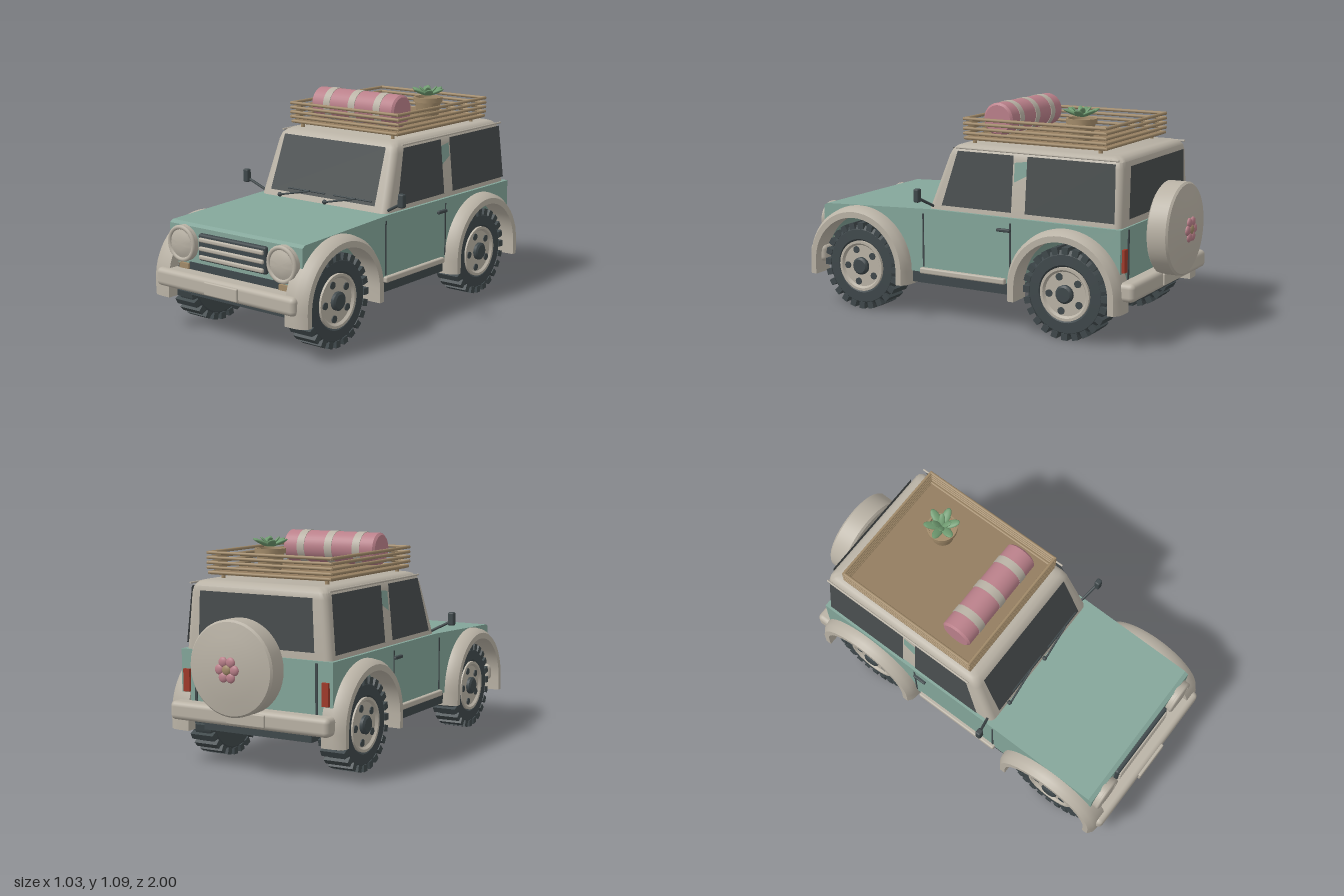
import * as THREE from 'three';
import { mergeGeometries, toCreasedNormals } from 'three/addons/utils/BufferGeometryUtils.js';
import { RoundedBoxGeometry } from 'three/addons/geometries/RoundedBoxGeometry.js';

const mat = (name, color, side = THREE.FrontSide) => {
  const m = new THREE.MeshStandardMaterial({ color, side });
  m.name = name;
  return m;
};

export function createModel() {
  const teal = mat('teal paint', 0x84a69a, THREE.DoubleSide);
  const cream = mat('cream trim', 0xb9b2a5);
  const glass = mat('dark glass', 0x484d4e, THREE.DoubleSide);
  const dark = mat('dark rubber', 0x3f484b);
  const tan = mat('tan cane', 0xa18a69);
  const brown = mat('brown board', 0x927b5e);
  const pink = mat('pink cloth', 0xba808a);
  const green = mat('leaf green', 0x6f9a70);
  const red = mat('lamp red', 0xa03a2a);

  const model = new THREE.Group();
  const add = (name, geo, m, x = 0, y = 0, z = 0, parent = model) => {
    const mesh = new THREE.Mesh(geo, m);
    mesh.name = name;
    mesh.position.set(x, y, z);
    parent.add(mesh);
    return mesh;
  };
  const box = (w, h, d) => new THREE.BoxGeometry(w, h, d);
  const rbox = (w, h, d, r) => new RoundedBoxGeometry(w, h, d, 3, r);
  const lathe = (pts, seg = 40) => toCreasedNormals(
    new THREE.LatheGeometry(pts.map(p => new THREE.Vector2(p[0], p[1])), seg), 0.6);
  const rod = (name, a, b, r, m) => {
    const p = new THREE.Vector3(...a), q = new THREE.Vector3(...b);
    const mesh = add(name, new THREE.CylinderGeometry(r, r, p.distanceTo(q), 10), m);
    mesh.position.copy(p).lerp(q, 0.5);
    mesh.quaternion.setFromUnitVectors(new THREE.Vector3(0, 1, 0), q.sub(p).normalize());
    return mesh;
  };
  // Skin over equal-length closed loops, capped at both ends
  const loft = (rows, crease) => {
    const n = rows[0].length, idx = [], last = (rows.length - 1) * n;
    for (let i = 0; i < rows.length - 1; i++) for (let j = 0; j < n; j++) {
      const a = i * n + j, b = i * n + (j + 1) % n;
      idx.push(a, b, a + n, b, b + n, a + n);
    }
    for (let j = 1; j < n - 1; j++) idx.push(0, j + 1, j, last, last + j, last + j + 1);
    const g = new THREE.BufferGeometry();
    g.setAttribute('position', new THREE.Float32BufferAttribute(rows.flat(2), 3));
    g.setIndex(idx);
    return toCreasedNormals(g, crease);
  };
  const panel = (name, corners, m) => {
    const g = new THREE.BufferGeometry();
    g.setAttribute('position', new THREE.Float32BufferAttribute(corners.flat(), 3));
    g.setIndex([0, 1, 2, 0, 2, 3]);
    g.computeVertexNormals();
    return add(name, g, m);
  };

  // Lower body: side outline with open wheel arches
  const frontZ = 0.663, rearZ = -0.518, archY = 0.24, archR = 0.255;
  const s = new THREE.Shape();
  s.moveTo(0.9, 0.36);
  s.lineTo(0.9, 0.525);
  s.lineTo(0.88, 0.537);
  s.lineTo(0.25, 0.565);
  s.lineTo(-0.8, 0.565);
  s.lineTo(-0.8, archY);
  s.absarc(rearZ, archY, archR, Math.PI, 0, true);
  s.absarc(frontZ, archY, archR, Math.PI, 0.378, true);
  const bodyGeo = new THREE.ExtrudeGeometry(s, { depth: 0.84, bevelEnabled: false, curveSegments: 24 });
  bodyGeo.translate(0, 0, -0.42).rotateY(-Math.PI / 2);
  add('body', bodyGeo, teal);
  add('chassis', box(0.6, 0.07, 1.68), dark, 0, 0.215, 0.05);
  add('floorPan', box(0.82, 0.06, 0.58), dark, 0, 0.212, 0.072);
  add('noseFrame', box(0.58, 0.15, 0.06), dark, 0, 0.275, 0.875);

  // Cabin shell: rounded rectangles stacked upward
  const ring = ([y, hw, zf, zb, r]) => {
    const pts = [];
    [[1, zb + r], [-1, zb + r], [-1, zf - r], [1, zf - r]].forEach(([sx, cz], k) => {
      for (let i = 0; i <= 5; i++) {
        const a = (k + i / 5) * Math.PI / 2;
        pts.push([sx * (hw - r) + r * Math.cos(a), y, cz - r * Math.sin(a)]);
      }
    });
    return pts;
  };
  add('cabin', loft([
    [0.55, 0.405, 0.272, -0.79, 0.035], [0.84, 0.378, 0.165, -0.785, 0.035],
    [0.87, 0.37, 0.15, -0.78, 0.035], [0.887, 0.355, 0.13, -0.765, 0.035],
    [0.895, 0.335, 0.105, -0.745, 0.035],
  ].map(ring), 0.6), cream);
  const sideX = y => 0.405 - (y - 0.555) * 0.095;
  const frontOf = y => 0.27 - (y - 0.555) * 0.368;

  // Windows
  const fz = y => frontOf(y) + 0.008;
  panel('windshield', [[-0.335, 0.595, fz(0.595)], [0.335, 0.595, fz(0.595)],
    [0.325, 0.87, fz(0.87)], [-0.325, 0.87, fz(0.87)]], glass);
  panel('rearWindow', [[0.32, 0.6, -0.797], [-0.32, 0.6, -0.797],
    [-0.31, 0.85, -0.797], [0.31, 0.85, -0.797]], glass);
  for (const sd of [1, -1]) {
    const side = (name, pts, m, off) =>
      panel(name, pts.map(([z, y]) => [sd * (sideX(y) + off), y, z]), m);
    side('frontSideWindow', [[0.18, 0.59], [-0.215, 0.59], [-0.215, 0.865], [0.1, 0.865]], glass, 0.011);
    side('rearSideWindow', [[-0.29, 0.59], [-0.765, 0.59], [-0.755, 0.865], [-0.29, 0.865]], glass, 0.011);
    side('pillarPatch', [[-0.22, 0.735], [-0.288, 0.77], [-0.288, 0.84], [-0.22, 0.83]], teal, 0.006);
  }

  // Fender flare and wheel shapes, built for the +x side and turned for the other
  const profile = [[0.37, 0.25], [0.37, 0.305], [0.425, 0.305], [0.46, 0.299], [0.485, 0.28], [0.485, 0.25]];
  const section = (a, drop) => profile.map(([x, r]) =>
    [x, archY + r * Math.sin(a) - drop, r * Math.cos(a)]);
  const arcRows = Array.from({ length: 29 }, (_, i) => section(i / 28 * Math.PI, 0));
  const flareGeo = loft([section(0, 0.07), ...arcRows, section(Math.PI, 0.07)], 0.7);

  const axle = g => g.rotateZ(-Math.PI / 2);
  const tireGeo = axle(lathe([[0, 0.305], [0.185, 0.305], [0.21, 0.325], [0.21, 0.41],
    [0.19, 0.43], [0.14, 0.432], [0.13, 0.42], [0.13, 0.4]]));
  const rimGeo = axle(lathe([[0.131, 0.4], [0.131, 0.436], [0.118, 0.436], [0.108, 0.424], [0, 0.424]]));
  const hubGeo = axle(lathe([[0.045, 0.42], [0.045, 0.44], [0.035, 0.448], [0, 0.448]], 20));
  const boltGeo = axle(new THREE.CylinderGeometry(0.018, 0.018, 0.01, 14));
  const lugs = [];
  for (let i = 0; i < 24; i++) {
    lugs.push(box(0.13, 0.034, 0.032).translate(0.368, 0.209, 0).rotateX(i / 24 * Math.PI * 2));
  }
  const lugGeo = mergeGeometries(lugs);
  for (const sd of [1, -1]) for (const z of [frontZ, rearZ]) {
    const corner = new THREE.Group();
    corner.name = 'wheelCorner';
    corner.position.z = z;
    corner.rotation.y = sd > 0 ? 0 : Math.PI;
    model.add(corner);
    add('fenderFlare', flareGeo, cream, 0, 0, 0, corner);
    const wheel = new THREE.Group();
    wheel.name = 'wheel';
    wheel.position.y = 0.23;
    corner.add(wheel);
    add('tire', tireGeo, dark, 0, 0, 0, wheel);
    add('treadLugs', lugGeo, dark, 0, 0, 0, wheel);
    add('rim', rimGeo, cream, 0, 0, 0, wheel);
    add('hubCap', hubGeo, dark, 0, 0, 0, wheel);
    for (let i = 0; i < 5; i++) {
      const a = (i + 0.15) / 5 * Math.PI * 2 + 1;
      add('rimHole', boltGeo, dark, 0.424, Math.sin(a) * 0.087, Math.cos(a) * 0.087, wheel);
    }
  }

  // Bumpers, plates, grille
  add('frontBumper', rbox(0.88, 0.09, 0.1, 0.025), cream, 0, 0.27, 0.938);
  add('frontPlate', rbox(0.21, 0.064, 0.02, 0.006), cream, 0, 0.27, 0.99);
  add('rearBumper', rbox(0.88, 0.09, 0.09, 0.025), cream, 0, 0.275, -0.835);
  add('rearPlate', rbox(0.21, 0.06, 0.014, 0.005), cream, 0, 0.275, -0.882);
  add('grille', rbox(0.43, 0.132, 0.03, 0.012), dark, 0, 0.437, 0.905);
  for (const y of [0.475, 0.432, 0.39]) add('grilleBar', rbox(0.41, 0.022, 0.02, 0.008), cream, 0, y, 0.92);

  // Paired side and corner details
  const lampRing = new THREE.TorusGeometry(0.079, 0.011, 10, 40);
  const lampGeo = lathe([[0.088, 0], [0.088, 0.028], [0.074, 0.03], [0.06, 0.038], [0.03, 0.044], [0, 0.046]]);
  lampGeo.rotateX(Math.PI / 2);
  for (const sd of [1, -1]) {
    add('headlight', lampGeo, cream, sd * 0.318, 0.44, 0.895);
    add('headlightRing', lampRing, cream, sd * 0.318, 0.44, 0.925);
    add('turnSignal', box(0.06, 0.026, 0.03), tan, sd * 0.318, 0.328, 0.9);
    add('tailLight', box(0.035, 0.11, 0.02), red, sd * 0.385, 0.415, -0.804);
    add('tailgateSeam', box(0.012, 0.27, 0.008), dark, sd * 0.335, 0.42, -0.801);
    add('sillStep', rbox(0.06, 0.03, 0.49, 0.008), cream, sd * 0.41, 0.25, 0.055);
    for (const z of [0.285, -0.215]) add('doorSeam', box(0.006, 0.27, 0.008), dark, sd * 0.42, 0.405, z);
    add('doorHandle', rbox(0.02, 0.016, 0.075, 0.005), dark, sd * 0.425, 0.503, -0.18);
    add('mirror', rbox(0.034, 0.068, 0.03, 0.008), dark, sd * 0.5, 0.645, 0.265);
    rod('mirrorArm', [sd * 0.39, 0.575, 0.235], [sd * 0.495, 0.63, 0.26], 0.007, dark);
    rod('dripRail', [sd * 0.384, 0.88, 0.11], [sd * 0.384, 0.88, -0.77], 0.005, cream);
  }

  // Wipers
  for (const x of [-0.265, 0.03]) {
    add('wiperPivot', new THREE.SphereGeometry(0.012, 12, 8), dark, x, 0.577, 0.275);
    rod('wiperArm', [x, 0.577, 0.28], [x + 0.19, 0.617, 0.264], 0.005, dark);
    rod('wiperBlade', [x + 0.045, 0.615, 0.26], [x + 0.285, 0.615, 0.26], 0.004, dark);
  }

  // Roof rack
  const rackF = 0.087, rackB = -0.68;
  add('rackFloor', box(0.67, 0.014, 0.75), brown, 0, 0.921, (rackF + rackB) / 2);
  for (let i = 0; i < 5; i++) {
    const y = 0.924 + i * 0.0238, w = i ? 0.342 : 0.335;
    for (const sd of [1, -1]) {
      rod('rackSideRail', [sd * w, y, rackF + 0.005], [sd * w, y, rackB - 0.005], 0.008, tan);
      rod('rackEndRail', [-w - 0.005, y, sd > 0 ? rackF : rackB], [w + 0.005, y, sd > 0 ? rackF : rackB], 0.008, tan);
    }
  }
  for (const x of [-0.29, 0.29]) for (const z of [0.06, -0.63]) {
    add('rackFoot', new THREE.CylinderGeometry(0.01, 0.01, 0.04, 10), tan, x, 0.902, z);
  }

  // Bedroll with straps
  add('bedroll', axle(lathe([[0, -0.264], [0.07, -0.264], [0.081, -0.254], [0.081, 0.254], [0.07, 0.264], [0, 0.264]])),
    pink, 0, 1.015, -0.054);
  for (const x of [-0.16, 0, 0.16]) {
    add('bedrollStrap', axle(new THREE.CylinderGeometry(0.0835, 0.0835, 0.042, 40)), cream, x, 1.015, -0.054);
  }

  // Potted plant
  const plant = new THREE.Group();
  plant.name = 'pottedPlant';
  plant.position.set(0.137, 0.928, -0.45);
  model.add(plant);
  add('pot', lathe([[0, 0], [0.055, 0], [0.068, 0.08], [0.076, 0.08], [0.076, 0.105], [0.066, 0.105], [0.064, 0.09], [0, 0.09]], 28),
    tan, 0, 0, 0, plant);
  const leafGeo = new THREE.SphereGeometry(1, 12, 8).scale(0.048, 0.009, 0.022).translate(0.05, 0, 0);
  for (const [n, tilt, size, turn] of [[6, 0.4, 1, 0.2], [4, 0.8, 0.7, 0.6]]) {
    for (let i = 0; i < n; i++) {
      const leaf = add('leaf', leafGeo, green, 0, 0.112, 0, plant);
      leaf.rotation.set(0, turn + i / n * Math.PI * 2, tilt);
      leaf.scale.setScalar(size);
    }
  }

  // Covered spare wheel with a flower
  const spare = new THREE.Group();
  spare.name = 'spareWheel';
  spare.position.set(0.03, 0.52, -0.8);
  model.add(spare);
  const toBack = g => g.rotateX(-Math.PI / 2);
  add('spareMount', toBack(new THREE.CylinderGeometry(0.03, 0.03, 0.07, 16)), dark, 0, 0, -0.025, spare);
  add('spareCover', toBack(lathe([[0, 0.05], [0.215, 0.05], [0.227, 0.06], [0.227, 0.15], [0.218, 0.16],
    [0.15, 0.172], [0.08, 0.181], [0, 0.183]], 48)), cream, 0, 0, -0.002, spare);
  const petalGeo = new THREE.SphereGeometry(1, 14, 10).scale(0.024, 0.024, 0.012);
  for (let i = 0; i < 6; i++) {
    const a = i / 6 * Math.PI * 2;
    add('petal', petalGeo, pink, Math.cos(a) * 0.041, Math.sin(a) * 0.041, -0.186, spare);
  }
  add('flowerCentre', petalGeo, tan, 0, 0, -0.188, spare);

  return model;
}
